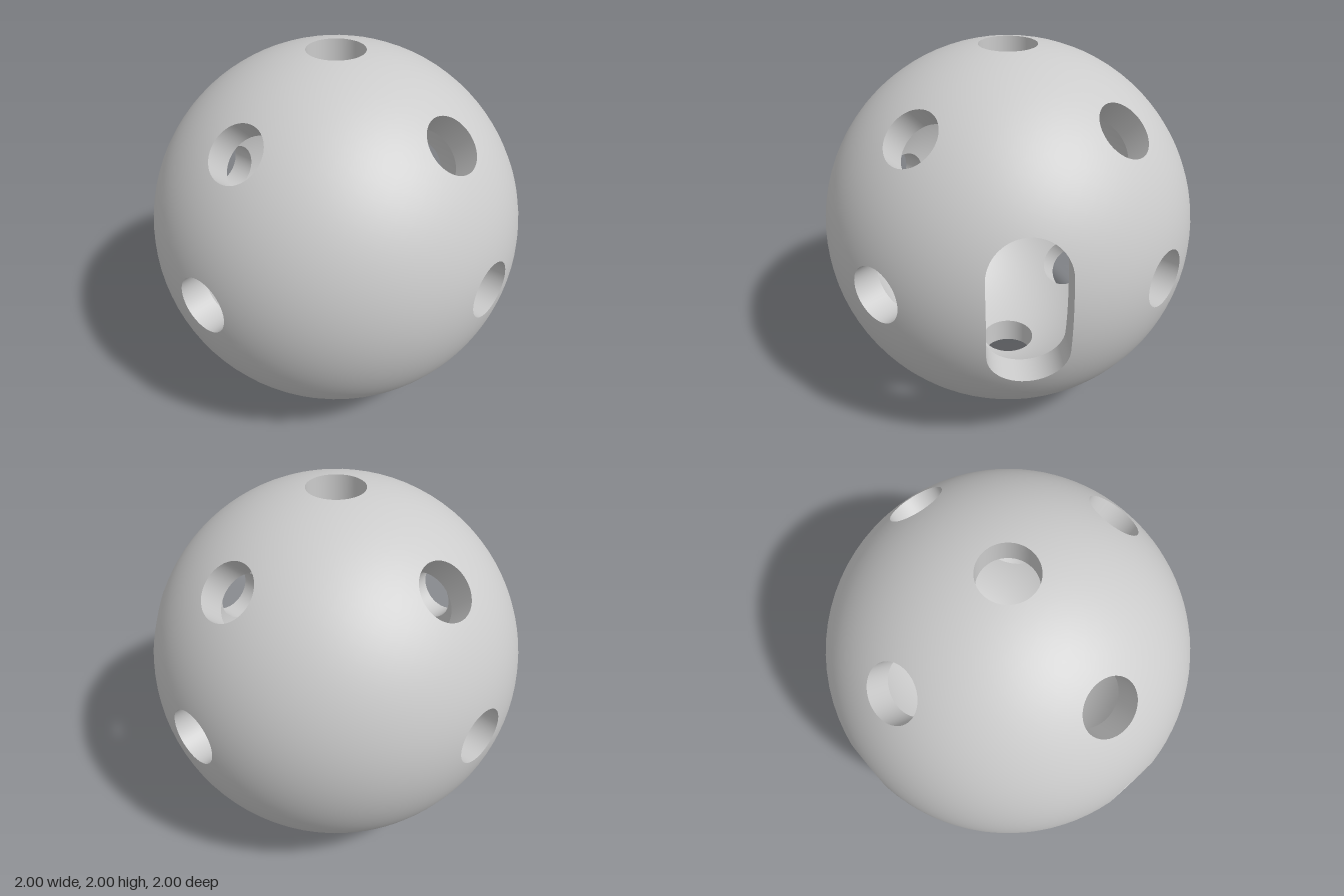
import * as THREE from 'three';
import { ConvexGeometry } from 'three/addons/geometries/ConvexGeometry.js';

const OUTER = 1.0116, INNER = 0.865;
const HOLE_R = 0.1525, SLOT_R = 0.2, SLOT_HALF = 0.204;

// An opening is a round (half = 0) or capsule profile pushed along a direction
function opening(name, x, y, z, radius, half = 0) {
  const d = new THREE.Vector3(x, y, z).normalize();
  const v = Math.abs(d.y) > 0.9 ? new THREE.Vector3(0, 0, 1) : new THREE.Vector3(0, 1, 0);
  v.addScaledVector(d, -v.dot(d)).normalize();
  const u = new THREE.Vector3().crossVectors(v, d);

  // counter-clockwise profile
  const profile = [];
  const arc = 24, side = 12;
  for (const s of [1, -1]) {
    for (let i = 0; i < arc; i++) {
      const a = (i / arc) * Math.PI;
      profile.push([s * radius * Math.cos(a), s * (radius * Math.sin(a) + half)]);
    }
    if (half > 0) {
      for (let i = 0; i < side; i++) profile.push([-s * radius, s * half * (1 - (2 * i) / side)]);
    }
  }
  return { name, d, u, v, radius, half, profile };
}

const place = (o, p, q, h) => new THREE.Vector3()
  .addScaledVector(o.u, p).addScaledVector(o.v, q).addScaledVector(o.d, h);

// Point of a profile lifted onto a sphere of radius r
const onSphere = (o, [p, q], r) => place(o, p, q, Math.sqrt(r * r - p * p - q * q));

function isInside(o, point, margin = 0) {
  if (point.dot(o.d) <= 0) return false;
  const q = Math.max(Math.abs(point.dot(o.v)) - o.half, 0);
  return Math.hypot(point.dot(o.u), q) < o.radius + margin;
}

function makeGeometry(positions, normals) {
  const g = new THREE.BufferGeometry();
  g.setAttribute('position', new THREE.Float32BufferAttribute(positions, 3));
  g.setAttribute('normal', new THREE.Float32BufferAttribute(normals, 3));
  return g;
}

// Sphere skin: hull of even points and opening rims, minus the faces over openings
function skin(openings, r, facing) {
  const points = [];
  const count = 2500, golden = Math.PI * (3 - Math.sqrt(5));
  for (let i = 0; i < count; i++) {
    const y = 1 - (2 * (i + 0.5)) / count, ring = Math.sqrt(1 - y * y);
    const p = new THREE.Vector3(ring * Math.cos(i * golden), y, ring * Math.sin(i * golden)).multiplyScalar(r);
    if (!openings.some((o) => isInside(o, p, 0.03))) points.push(p);
  }
  for (const o of openings) {
    points.push(o.d.clone().multiplyScalar(r));
    for (const c of o.profile) points.push(onSphere(o, c, r));
  }

  const hull = new ConvexGeometry(points).getAttribute('position');
  const positions = [], normals = [];
  for (let i = 0; i < hull.count; i += 3) {
    const tri = [0, 1, 2].map((k) => new THREE.Vector3().fromBufferAttribute(hull, i + k));
    const mid = tri[0].clone().add(tri[1]).add(tri[2]).setLength(r);
    if (openings.some((o) => isInside(o, mid))) continue;
    if (facing < 0) tri.reverse();
    for (const p of tri) {
      positions.push(p.x, p.y, p.z);
      normals.push(...p.clone().setLength(1).multiplyScalar(facing).toArray());
    }
  }
  return makeGeometry(positions, normals);
}

// Wall of an opening, from the outer rim to the inner rim, facing its axis
function wall(o) {
  const positions = [], normals = [];
  const n = o.profile.length;
  const add = (c, r) => {
    const q = Math.sign(c[1]) * Math.max(Math.abs(c[1]) - o.half, 0);
    positions.push(...onSphere(o, c, r).toArray());
    normals.push(...place(o, -c[0], -q, 0).normalize().toArray());
  };
  for (let i = 0; i < n; i++) {
    const a = o.profile[i], b = o.profile[(i + 1) % n];
    add(a, OUTER); add(b, OUTER); add(b, INNER);
    add(a, OUTER); add(b, INNER); add(a, INNER);
  }
  return makeGeometry(positions, normals);
}

export function createModel() {
  const model = new THREE.Group();
  model.name = 'perforatedBall';
  const material = new THREE.MeshStandardMaterial({ color: 0xcccccc });

  // Round holes on the axes and on the upright diagonals, plus one slot at the back
  const openings = [];
  for (const s of [1, -1]) {
    openings.push(opening('sideHole', s, 0, 0, HOLE_R));
    openings.push(opening('poleHole', 0, s, 0, HOLE_R));
    openings.push(opening('frontBackHole', 0, 0, s, HOLE_R));
    for (const t of [1, -1]) {
      openings.push(opening('diagonalSideHole', s, t, 0, HOLE_R));
      openings.push(opening('diagonalFrontBackHole', 0, t, s, HOLE_R));
    }
  }
  openings.push(opening('slot', 1, 0, -1, SLOT_R, SLOT_HALF));

  const addMesh = (name, geometry) => {
    const mesh = new THREE.Mesh(geometry, material);
    mesh.name = name;
    mesh.position.y = 1;
    model.add(mesh);
  };
  addMesh('outerShell', skin(openings, OUTER, 1));
  addMesh('innerShell', skin(openings, INNER, -1));
  for (const o of openings) addMesh(o.name + 'Wall', wall(o));
  return model;
}
